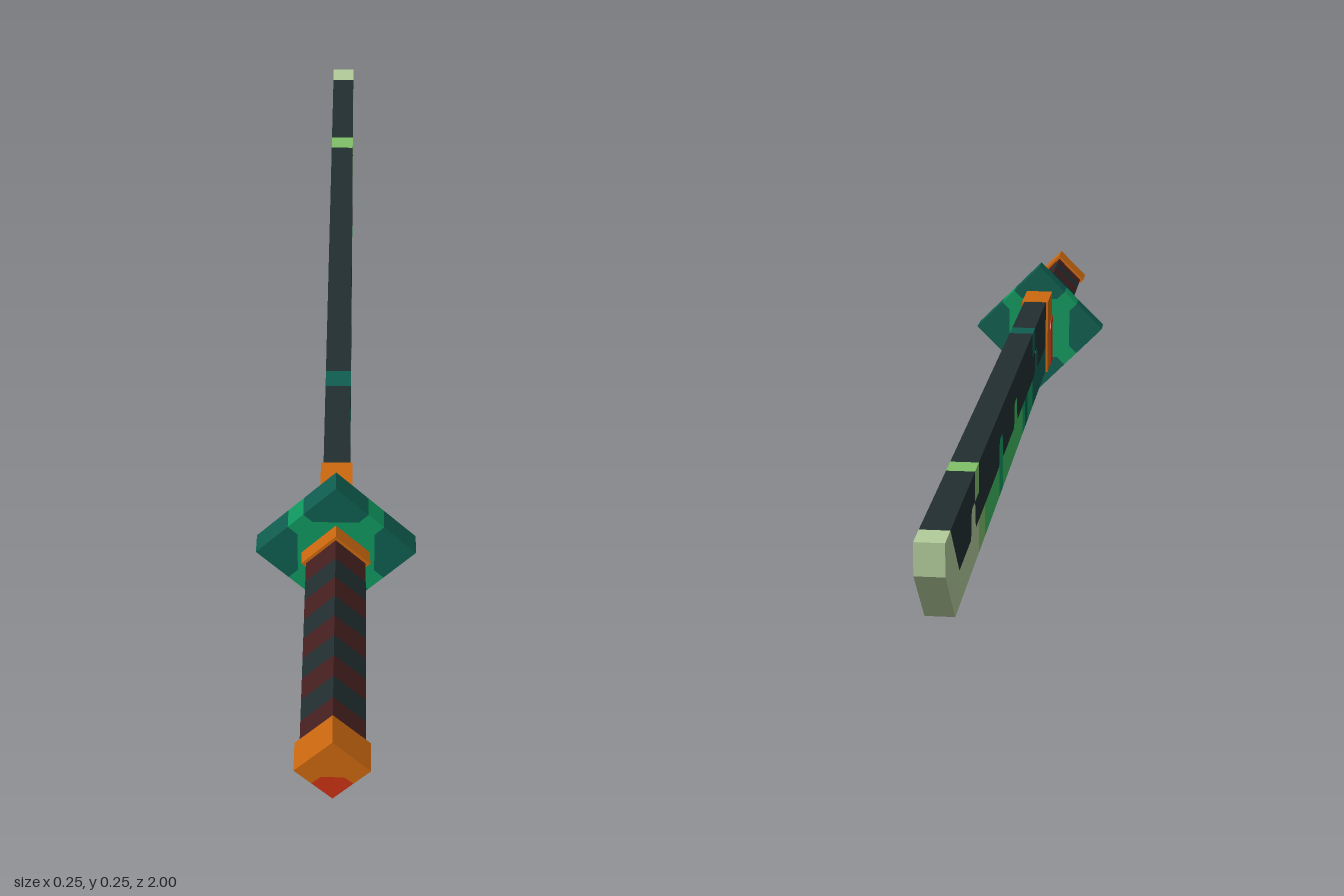
import * as THREE from 'three';

const paint = (name, color) => {
  const m = new THREE.MeshStandardMaterial({ color });
  m.name = name;
  return m;
};

export function createModel() {
  const steel = paint('dark steel', 0x222e30);
  const teal = paint('deep teal', 0x0f5e50);
  const green = paint('emerald', 0x10985f);
  const bright = paint('bright green', 0x3fb860);
  const lime = paint('light green', 0x80c068);
  const pale = paint('pale edge', 0xb2cb9a);
  const orange = paint('orange', 0xcb680f);
  const red = paint('red', 0xcc3312);
  const maroon = paint('maroon', 0x45201f);

  const sword = new THREE.Group();
  sword.name = 'sword';
  const CY = 0.124; // height of the handle axis

  const outline = (pts) => new THREE.Shape(pts.map((p) => new THREE.Vector2(p[0], p[1])));
  const add = (parent, name, geo, mat) => {
    const mesh = new THREE.Mesh(geo, mat);
    mesh.name = name;
    parent.add(mesh);
    return mesh;
  };
  const group = (name) => {
    const g = new THREE.Group();
    g.name = name;
    sword.add(g);
    return g;
  };

  // Side-view outline in (z, y), extruded across x and centred
  const slab = (parent, name, mat, width, pts) => {
    const geo = new THREE.ExtrudeGeometry(outline(pts), { depth: width, bevelEnabled: false });
    geo.rotateY(-Math.PI / 2).translate(width / 2, 0, 0);
    return add(parent, name, geo, mat);
  };
  // Front-view outline around the handle axis, extruded from z0 to z1
  const prism = (parent, name, mat, z0, z1, pts, turn = 0) => {
    const geo = new THREE.ExtrudeGeometry(outline(pts), { depth: z1 - z0, bevelEnabled: false });
    geo.rotateZ(turn).translate(0, CY, z0);
    return add(parent, name, geo, mat);
  };
  const diamond = (r) => [[0, -r], [r, 0], [0, r], [-r, 0]];

  // Blade: interlocking colour regions; bottom, strip line, step line, spine
  const blade = group('blade');
  const W = 0.042, B = 0.06, L = 0.11, M = 0.152, T = 0.197;
  const strip = (name, mat, z0, z1) => slab(blade, name, mat, W, [[z0, B], [z1, B], [z1, L], [z0, L]]);
  // Small rounded tooth rising from the strip
  const toothPts = (z0, z1) => [[z0 + 0.008, L], [z0, L + 0.01], [z0, M - 0.008], [z0 - 0.008, M],
    [z1 + 0.008, M], [z1, M - 0.008], [z1, L + 0.01], [z1 - 0.008, L]];
  const tooth = (name, mat, z0, z1) => slab(blade, name, mat, W, toothPts(z0, z1));
  const square = (name, mat, z0, z1) => slab(blade, name, mat, W, [[z0, M], [z1, M], [z1, T], [z0, T]]);

  slab(blade, 'bladeBodyRear', steel, W, [[0.4, T], [0.4, L], ...toothPts(0.232, 0.187).slice(0, 5), [0.187, M], [0.187, T]]);
  slab(blade, 'bladeBodyMain', steel, W, [
    [0.143, T], [0.143, M], [0.187, M], ...toothPts(0.232, 0.187).slice(5),
    ...toothPts(-0.122, -0.166), ...toothPts(-0.34, -0.385),
    ...toothPts(-0.69, -0.735).slice(0, 4), [-0.69, M], [-0.648, M], [-0.648, T]]);
  slab(blade, 'bladeBodyFront', steel, W, [
    [-0.692, T], [-0.692, M], ...toothPts(-0.69, -0.735).slice(4), [-0.865, L], [-0.95, T]]);
  strip('edgeTealRear', teal, 0.4, 0.145);
  strip('edgeGreenRear', green, 0.145, 0.055);
  strip('edgeTealSpot', teal, 0.055, 0.01);
  strip('edgeGreenMiddle', green, 0.01, -0.037);
  strip('edgeBrightRear', bright, -0.037, -0.34);
  strip('edgeGreenSpot', green, -0.34, -0.385);
  strip('edgeBrightFront', bright, -0.385, -0.58);
  strip('edgeLight', lime, -0.58, -0.65);
  tooth('tealTooth', teal, 0.232, 0.187);
  square('tealSpineMark', teal, 0.187, 0.143);
  tooth('brightTooth', bright, -0.122, -0.166);
  tooth('greenTooth', green, -0.34, -0.385);
  square('lightSpineMark', lime, -0.648, -0.692);
  tooth('paleTooth', pale, -0.69, -0.735);
  slab(blade, 'paleTip', pale, W, [[-0.65, B], [-0.91, B], [-1, 0.15], [-1, T], [-0.95, T], [-0.865, L], [-0.65, L]]);

  // Blade collar with a red patch on each side
  const collar = group('bladeCollar');
  slab(collar, 'collarBlock', orange, 0.05, [[0.4, B - 0.002], [0.495, B - 0.002], [0.495, T + 0.001], [0.4, T + 0.001]]);
  slab(collar, 'collarRedPatch', red, 0.053, [[0.494, B], [0.447, B], [0.447, 0.132], [0.457, 0.147], [0.494, 0.15]]);

  // Guard: square set on its corner, emerald cross and four teal corners
  const guard = group('guard');
  const a = 0.0877, n = 0.017, k = 0.067, G0 = 0.492, G1 = 0.533;
  const cross = [];
  for (let i = 0; i < 4; i++) {
    const turn = (i * Math.PI) / 2;
    const c = Math.round(Math.cos(turn)), s = Math.round(Math.sin(turn));
    for (const [x, y] of [[a, -n], [a, n], [k, n], [n, k]]) cross.push([x * c - y * s, x * s + y * c]);
    prism(guard, 'guardCorner', teal, G0, G1, [[a, a], [n, a], [n, k], [k, n], [a, n]], turn + Math.PI / 4);
  }
  prism(guard, 'guardCross', green, G0, G1, cross, Math.PI / 4);

  // Handle: banded grip between two orange caps
  const handle = group('handle');
  const bands = 9, g0 = 0.56, g1 = 0.947, step = (g1 - g0) / bands;
  for (let i = 0; i < bands; i++) {
    prism(handle, 'gripBand', i % 2 ? steel : maroon, g0 + i * step, g0 + (i + 1) * step, diamond(0.046));
  }
  const r = 0.053, cut = -0.012, low = -0.024;
  const lowerPts = [[0, -r], [r + low, low], [0.016, cut], [-0.016, cut], [-r - low, low]];
  const upperPts = [[r, 0], [0, r], [-r, 0], [-r - low, low], [-0.016, cut], [0.016, cut], [r + low, low]];
  const cap = (name, z0, zRed, z1) => {
    prism(handle, name, orange, z0, z1, upperPts);
    prism(handle, name + 'RedCorner', red, zRed, z1, lowerPts);
    if (zRed > z0) prism(handle, name + 'LowerCorner', orange, z0, zRed, lowerPts);
  };
  cap('gripFerrule', 0.533, 0.533, 0.56);
  cap('pommel', 0.947, 0.975, 1);

  return sword;
}
